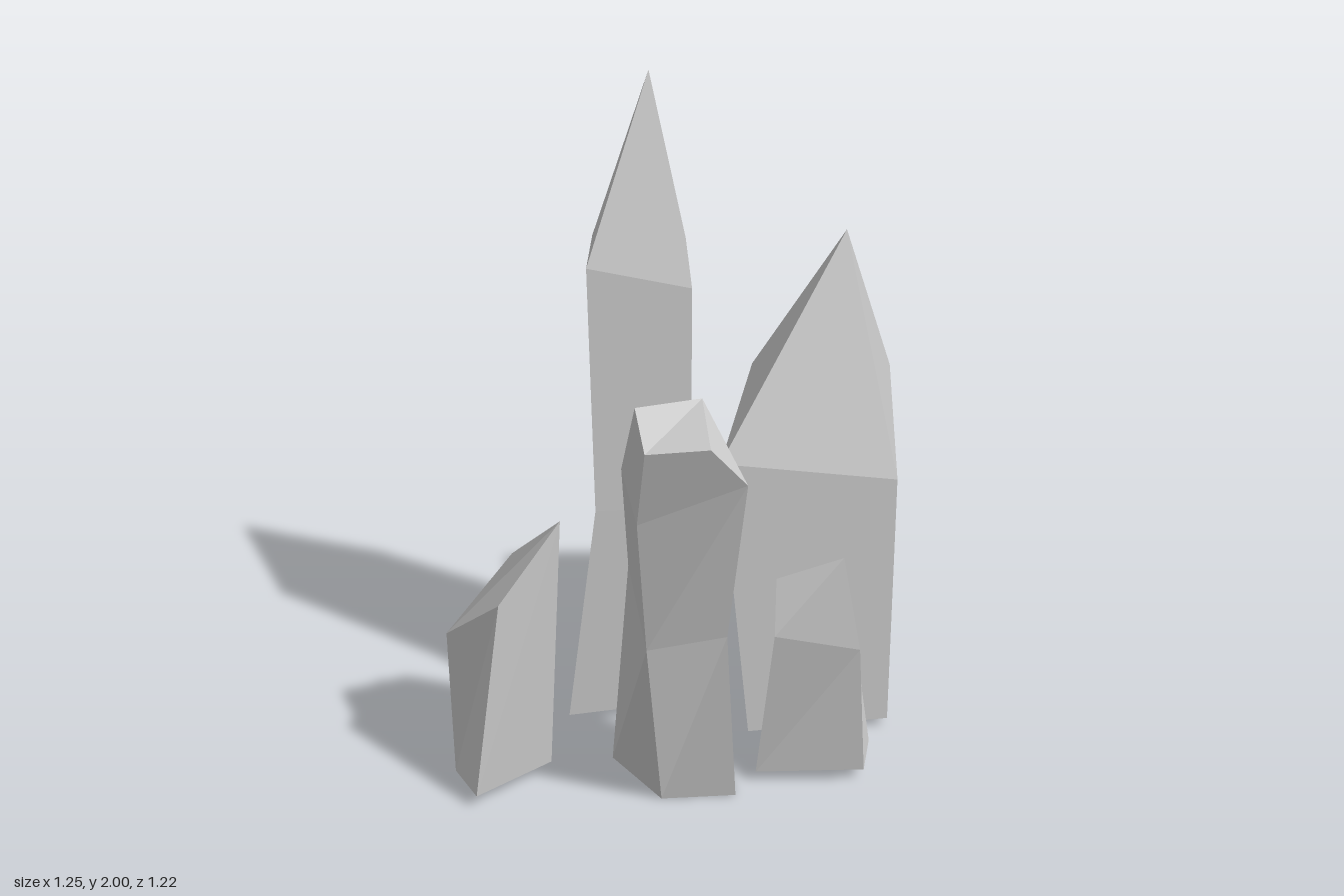
import * as THREE from 'three';

const material = new THREE.MeshStandardMaterial({ color: 0xcccccc, flatShading: true });

// Crystal from four-cornered rings, bottom to top. Corners run
// front-left, front-right, back-right, back-left; a one-point ring is a tip.
function crystal(name, rings) {
  const positions = [];
  const tri = (a, b, c) => positions.push(...a, ...b, ...c);
  const base = rings[0];
  tri(base[0], base[2], base[1]);
  tri(base[0], base[3], base[2]);
  for (let r = 0; r < rings.length - 1; r++) {
    const low = rings[r], high = rings[r + 1];
    for (let i = 0; i < 4; i++) {
      const j = (i + 1) % 4;
      if (high.length === 1) {
        tri(low[i], low[j], high[0]);
      } else {
        tri(low[i], low[j], high[j]);
        tri(low[i], high[j], high[i]);
      }
    }
  }
  const top = rings[rings.length - 1];
  if (top.length === 4) {
    tri(top[0], top[1], top[2]);
    tri(top[0], top[2], top[3]);
  }
  const geometry = new THREE.BufferGeometry();
  geometry.setAttribute('position', new THREE.Float32BufferAttribute(positions, 3));
  geometry.computeVertexNormals();
  const mesh = new THREE.Mesh(geometry, material);
  mesh.name = name;
  return mesh;
}

export function createModel() {
  const group = new THREE.Group();
  group.name = 'crystalCluster';

  // Tallest pointed crystal, slightly pinched at mid height
  group.add(crystal('tallCrystal', [
    [[-0.315, 0.04, 0.015], [0.105, 0.04, -0.1], [0.025, 0.04, -0.355], [-0.235, 0.04, -0.295]],
    [[-0.23, 0.73, -0.01], [0.04, 0.73, -0.05], [0.03, 0.73, -0.365], [-0.215, 0.73, -0.28]],
    [[-0.245, 1.49, -0.015], [0.04, 1.41, -0.075], [0.01, 1.46, -0.295], [-0.245, 1.5, -0.21]],
    [[-0.085, 2, -0.19]],
  ]));

  // Broad pointed crystal
  group.add(crystal('broadCrystal', [
    [[0.215, 0, 0.01], [0.625, 0.03, -0.04], [0.625, 0.08, -0.545], [0.2, 0.015, -0.41]],
    [[0.125, 0.91, 0.015], [0.625, 0.82, -0.085], [0.605, 0.915, -0.61], [0.195, 0.94, -0.545]],
    [[0.46, 1.51, -0.27]],
  ]));

  // Forward-leaning crystal with a blunt top
  group.add(crystal('leaningCrystal', [
    [[-0.02, 0, 0.355], [0.19, 0, 0.325], [0.135, 0, 0.095], [-0.175, 0, 0.165]],
    [[-0.05, 0.6, 0.5], [0.165, 0.6, 0.42], [0.14, 0.75, 0.235], [-0.115, 0.73, 0.275]],
    [[-0.07, 1.02, 0.545], [0.22, 1.17, 0.58], [0.155, 1.06, 0.3], [-0.125, 1.08, 0.355]],
    [[-0.045, 1.26, 0.595], [0.125, 1.285, 0.605], [0.09, 1.3, 0.355], [-0.08, 1.32, 0.455]],
  ]));

  // Small slanted stumps on either side
  group.add(crystal('rightStump', [
    [[-0.615, 0.04, 0.31], [-0.54, 0.04, 0.43], [-0.345, 0.04, 0.25], [-0.4, 0.04, 0.09]],
    [[-0.63, 0.48, 0.265], [-0.465, 0.65, 0.38], [-0.3, 0.87, 0.285], [-0.46, 0.64, 0.085]],
  ]));
  group.add(crystal('leftStump', [
    [[0.245, 0.04, 0.265], [0.555, 0.04, 0.235], [0.57, 0.04, 0.09], [0.29, 0.04, 0.085]],
    [[0.29, 0.425, 0.145], [0.53, 0.48, 0.28], [0.48, 0.655, 0.08], [0.29, 0.56, 0.05]],
  ]));

  return group;
}
